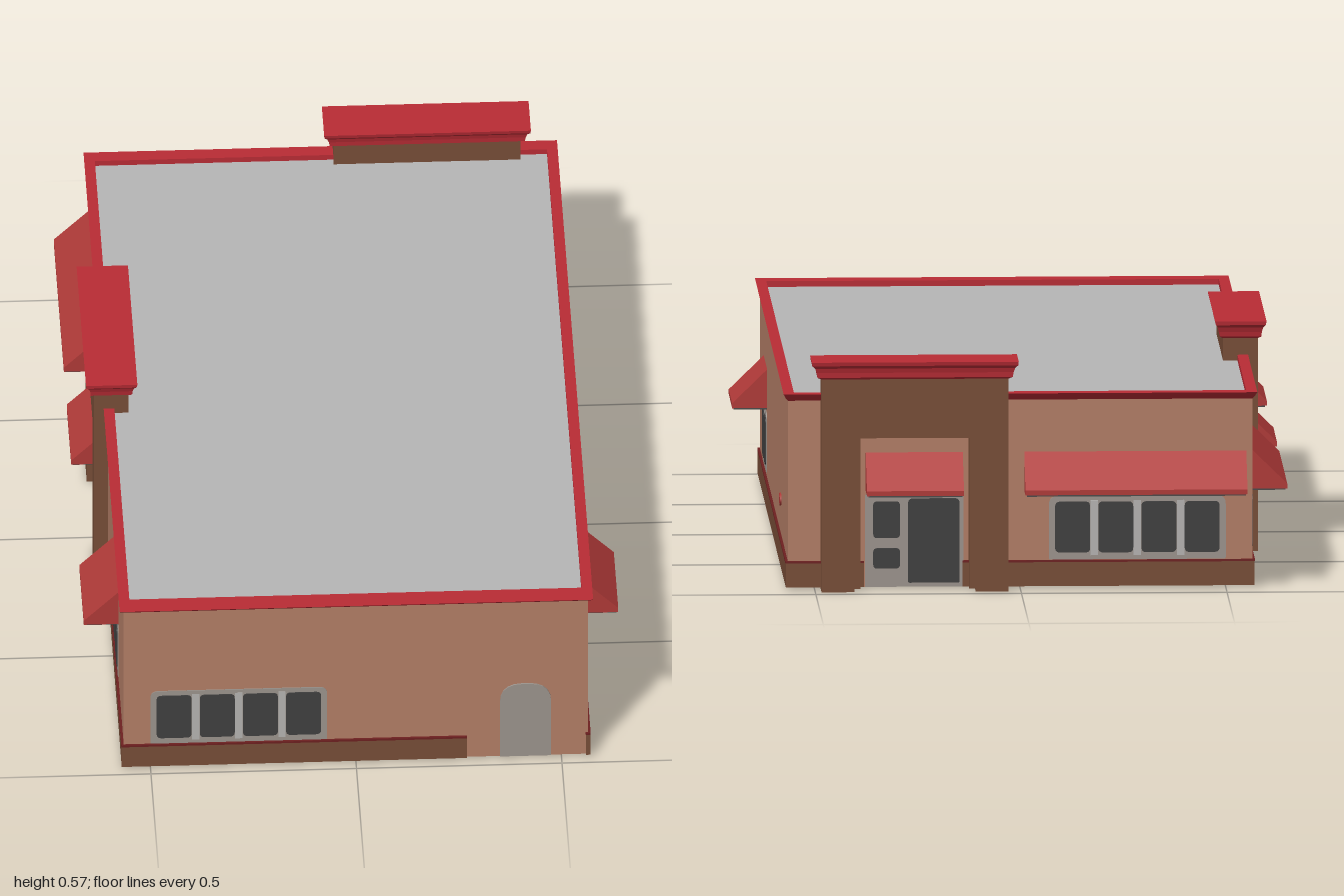
import * as THREE from 'three';

const mat = (name, color) => {
  const m = new THREE.MeshStandardMaterial({ color, side: THREE.DoubleSide });
  m.name = name;
  return m;
};

export function createModel() {
  const M = {
    wall: mat('tan wall', 0xb37e66), brown: mat('brown base', 0x774d37),
    red: mat('red trim', 0xb92c35), awning: mat('awning red', 0xb03a38),
    maroon: mat('dark red ledge', 0x6e2020), roof: mat('roof grey', 0xb6b6b6),
    frame: mat('frame grey', 0x9c948d), mullion: mat('light grey', 0xb6b4b2),
    pane: mat('dark pane', 0x404040), under: mat('awning underside', 0x4c4a49),
  };
  const model = new THREE.Group();
  model.name = 'building';

  const add = (parent, name, geo, material, x = 0, y = 0, z = 0) => {
    const m = new THREE.Mesh(geo, material);
    m.name = name;
    m.position.set(x, y, z);
    parent.add(m);
    return m;
  };
  // box given by its limits
  const box = (p, name, m, x0, x1, y0, y1, z0, z1) =>
    add(p, name, new THREE.BoxGeometry(x1 - x0, y1 - y0, z1 - z0), m,
      (x0 + x1) / 2, (y0 + y1) / 2, (z0 + z1) / 2);

  // surface through stacked rectangular rings [x0, x1, z0, z1, y]
  const loft = (rings) => {
    const pos = [];
    const pts = rings.map(([a, b, c, d, y]) => [[a, y, d], [b, y, d], [b, y, c], [a, y, c]]);
    for (let i = 0; i < pts.length - 1; i++) {
      for (let k = 0; k < 4; k++) {
        const n = (k + 1) % 4, lo = pts[i], hi = pts[i + 1];
        pos.push(...lo[k], ...lo[n], ...hi[n], ...lo[k], ...hi[n], ...hi[k]);
      }
    }
    const g = new THREE.BufferGeometry();
    g.setAttribute('position', new THREE.Float32BufferAttribute(pos, 3));
    g.computeVertexNormals();
    return g;
  };

  // thin rounded plate centred in the wall surface
  const plate = (p, name, m, x0, x1, y0, y1, z, t, rTop, rLow = rTop) => {
    const s = new THREE.Shape();
    s.moveTo(x0 + rLow, y0);
    s.lineTo(x1 - rLow, y0);
    s.quadraticCurveTo(x1, y0, x1, y0 + rLow);
    s.lineTo(x1, y1 - rTop);
    s.quadraticCurveTo(x1, y1, x1 - rTop, y1);
    s.lineTo(x0 + rTop, y1);
    s.quadraticCurveTo(x0, y1, x0, y1 - rTop);
    s.lineTo(x0, y0 + rLow);
    s.quadraticCurveTo(x0, y0, x0 + rLow, y0);
    const g = new THREE.ExtrudeGeometry(s, { depth: t, bevelEnabled: false, curveSegments: 5 });
    return add(p, name, g, m, 0, 0, z - t / 2);
  };

  // framed row of panes
  const windows = (p, d, x0, x1, n, y0 = 0.07, y1 = 0.225) => {
    plate(p, 'windowFrame', M.frame, x0, x1, y0, y1, d, 0.004, 0.02, 0.004);
    const pitch = (x1 - x0 - 0.01) / n;
    for (let i = 0; i < n; i++) {
      const a = x0 + 0.005 + i * pitch;
      plate(p, 'windowPane', M.pane, a + 0.01, a + pitch - 0.01, y0 + 0.017, y1 - 0.013, d, 0.009, 0.012);
      if (i) box(p, 'mullion', M.mullion, a - 0.009, a + 0.009, y0 + 0.01, y1 - 0.01, d - 0.003, d + 0.003);
    }
  };

  // sloping awning with a short front lip and dark underside
  const awning = (p, d, x0, x1) => {
    const s = new THREE.Shape([[0, 0.335], [0, 0.24], [0.085, 0.24], [0.085, 0.252]]
      .map(([x, y]) => new THREE.Vector2(x, y)));
    const g = new THREE.ExtrudeGeometry(s, { depth: x1 - x0, bevelEnabled: false });
    g.rotateY(-Math.PI / 2);
    add(p, 'awning', g, M.awning, x1, 0, d);
    box(p, 'awningUnderside', M.under, x0 + 0.004, x1 - 0.004, 0.236, 0.2395, d, d + 0.081);
  };

  // base band with ledge
  const band = (p, d, x0, x1) => {
    box(p, 'baseBand', M.brown, x0, x1, 0.005, 0.064, d - 0.005, d + 0.005);
    box(p, 'baseLedge', M.maroon, x0, x1, 0.064, 0.069, d - 0.006, d + 0.006);
  };

  // entrance portal: legs, lintel, crown, door and awning
  const portal = (p, d, x0, x1, zIn, zOut, flip) => {
    const leg = 0.08, top = 0.53, open = 0.4, c = (x0 + x1) / 2;
    box(p, 'portalLeg', M.brown, x0, x0 + leg, 0, open, zIn, zOut);
    box(p, 'portalLeg', M.brown, x1 - leg, x1, 0, open, zIn, zOut);
    box(p, 'portalLintel', M.brown, x0, x1, open, top, zIn, zOut);
    box(p, 'portalInnerLintel', M.brown, x0 + leg, x1 - leg, open - 0.025, open, d - 0.005, zOut - 0.02);
    for (const [a, b] of [[x0 + leg, x0 + leg + 0.015], [x1 - leg - 0.015, x1 - leg]])
      box(p, 'portalInnerJamb', M.brown, a, b, 0.005, open - 0.025, d - 0.005, zOut - 0.02);
    const ring = (ex, ez, y) => [x0 - ex, x1 + ex, zIn - ez, zOut + ez, y];
    const mid = (zIn + zOut) / 2;
    add(p, 'portalCrown', loft([
      ring(0, 0, 0.523), ring(0.01, 0.008, 0.528), ring(0.012, 0.009, 0.54), ring(0.016, 0.012, 0.551),
      ring(0.023, 0.018, 0.558), ring(0.024, 0.02, 0.567), [c, c, mid, mid, 0.567],
    ]), M.red);
    // door beside two stacked sidelights
    plate(p, 'doorFrame', M.frame, c - 0.12, c + 0.12, 0.005, 0.235, d, 0.004, 0.01, 0.002);
    const s = flip ? -1 : 1;
    const span = (a, b) => [c + Math.min(a * s, b * s), c + Math.max(a * s, b * s)];
    plate(p, 'doorPane', M.pane, ...span(-0.015, 0.11), 0.015, 0.222, d, 0.009, 0.012, 0.004);
    plate(p, 'sidelightLower', M.pane, ...span(-0.1, -0.035), 0.05, 0.1, d, 0.009, 0.01);
    plate(p, 'sidelightUpper', M.pane, ...span(-0.1, -0.035), 0.125, 0.215, d, 0.009, 0.01);
    awning(p, d, c - 0.118, c + 0.118);
  };

  // each side is built facing +z and turned into place
  const side = (name, turn, d, x0, x1) => {
    const g = new THREE.Group();
    g.name = name;
    g.rotation.y = turn;
    model.add(g);
    add(g, 'wall', new THREE.PlaneGeometry(x1 - x0, 0.463), M.wall, (x0 + x1) / 2, 0.2365, d);
    return g;
  };
  const W = 0.565, F = 0.97, B = 0.91;

  const front = side('frontSide', 0, F, -W, W);
  band(front, F, -W - 0.005, 0.27);
  windows(front, F, -0.5, -0.07, 4);
  plate(front, 'serviceDoor', M.frame, 0.35, 0.475, 0.006, 0.22, F, 0.008, 0.055, 0);

  const left = side('leftSide', Math.PI / 2, W, -F, B);
  band(left, W, -F - 0.005, B + 0.005);
  windows(left, W, -0.705, -0.48, 2, 0.08, 0.225);
  awning(left, W, -0.71, -0.475);
  const spot = add(left, 'wallSpot', new THREE.CylinderGeometry(0.024, 0.024, 0.008, 10), M.awning, 0.46, 0.155, W);
  spot.rotation.x = Math.PI / 2;
  spot.scale.z = 0.65;

  const back = side('backSide', Math.PI, B, -W, W);
  band(back, B, -W - 0.005, -0.38);
  band(back, B, -0.14, W + 0.005);
  windows(back, B, 0.07, 0.5, 4);
  awning(back, B, 0.01, 0.55);
  portal(back, B, -0.485, -0.03, 0.88, 0.965, false);

  const right = side('rightSide', -Math.PI / 2, W, -B, F);
  band(right, W, -B - 0.005, -0.21);
  band(right, W, 0.035, F + 0.005);
  windows(right, W, -0.845, -0.415, 4);
  awning(right, W, -0.9, -0.36);
  windows(right, W, 0.48, 0.705, 2, 0.08, 0.225);
  awning(right, W, 0.47, 0.705);
  portal(right, W, -0.315, 0.14, 0.515, 0.6, true);

  // flat roof and flared parapet trim
  const roof = add(model, 'roof', new THREE.PlaneGeometry(1.1, 1.845), M.roof, 0, 0.468, 0.0225);
  roof.rotation.x = -Math.PI / 2;
  add(model, 'parapetTrim', loft([
    [-0.55, 0.55, -0.9, 0.945, 0.463], [-W, W, -B, F, 0.463], [-0.569, 0.569, -0.918, 0.98, 0.468],
    [-0.573, 0.573, -0.93, 0.99, 0.476], [-0.576, 0.576, -0.937, 0.997, 0.482],
    [-0.55, 0.55, -0.9, 0.945, 0.482], [-0.55, 0.55, -0.9, 0.945, 0.463],
  ]), M.red);

  return model;
}
